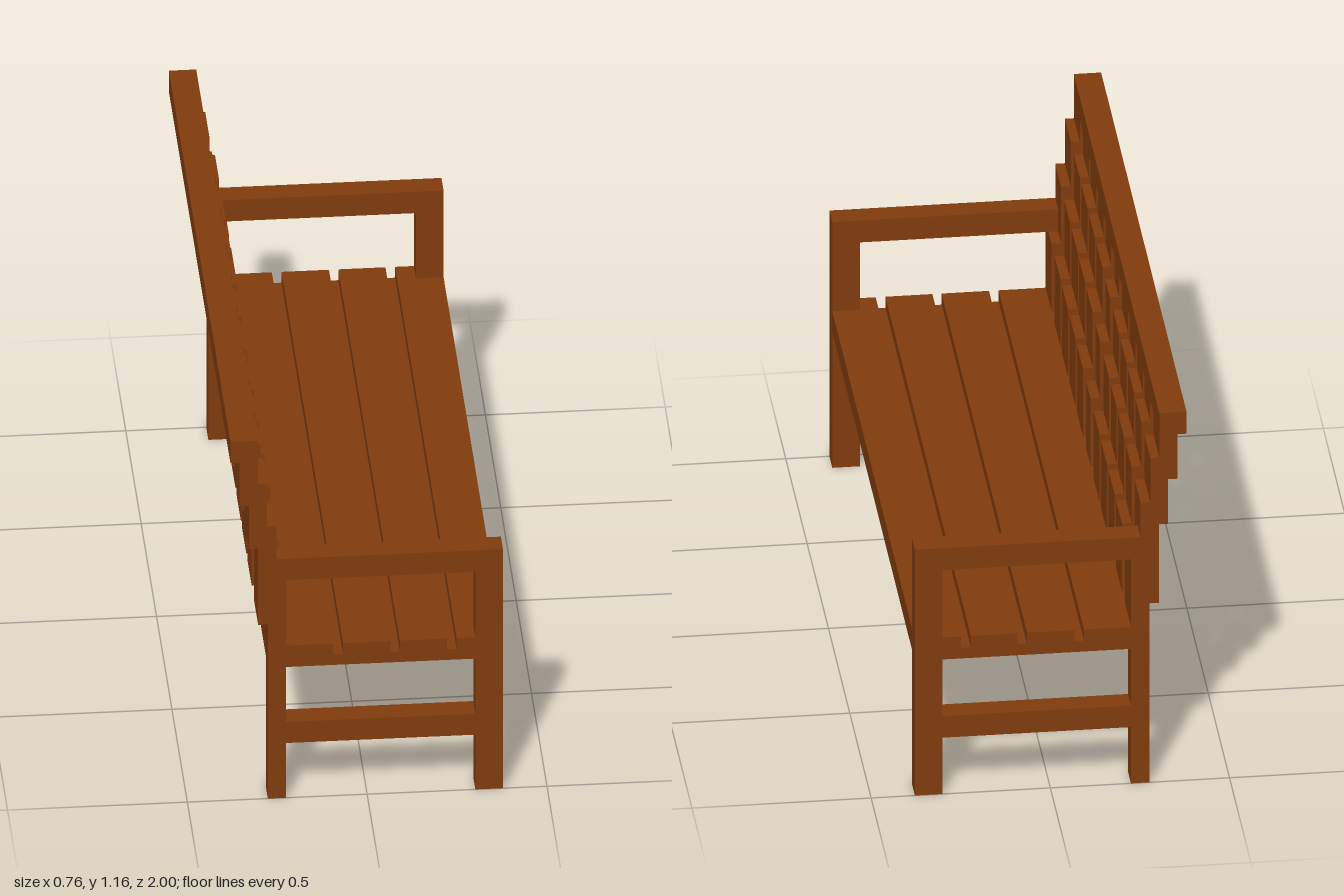
import * as THREE from 'three';

export function createModel() {
  const bench = new THREE.Group();
  bench.name = 'gardenBench';
  const wood = new THREE.MeshStandardMaterial({ color: 0x823c0d });
  wood.name = 'brownWood';

  // Box given by its limits on each axis
  function box(name, x0, x1, y0, y1, z0, z1) {
    const mesh = new THREE.Mesh(new THREE.BoxGeometry(x1 - x0, y1 - y0, z1 - z0), wood);
    mesh.position.set((x0 + x1) / 2, (y0 + y1) / 2, (z0 + z1) / 2);
    mesh.name = name;
    bench.add(mesh);
  }

  // Side profile in x and y, extruded along z
  function profile(name, points, z0, z1) {
    const shape = new THREE.Shape(points.map(([x, y]) => new THREE.Vector2(x, y)));
    const geometry = new THREE.ExtrudeGeometry(shape, { depth: z1 - z0, bevelEnabled: false });
    const mesh = new THREE.Mesh(geometry, wood);
    mesh.position.z = z0;
    mesh.name = name;
    bench.add(mesh);
  }

  // Seat: one solid board with three grooves between its planks
  const seat = [[-0.276, 0.423], [0.378, 0.423], [0.378, 0.492]];
  for (const [a, b] of [[0.222, 0.249], [0.065, 0.091], [-0.094, -0.067]]) {
    seat.push([b, 0.492], [b, 0.457], [a, 0.457], [a, 0.492]);
  }
  seat.push([-0.276, 0.492]);
  profile('seat', seat, -1, 1);

  // Leg frames with armrests at both ends
  for (const [side, z0, z1] of [['left', 0.932, 1], ['right', -1, -0.932]]) {
    box(side + 'FrontLegLower', 0.301, 0.378, 0, 0.423, z0, z1);
    box(side + 'ArmPost', 0.301, 0.378, 0.492, 0.704, z0, z1);
    box(side + 'RearLeg', -0.276, -0.225, 0, 0.423, z0, z1);
    box(side + 'Stretcher', -0.225, 0.301, 0.177, 0.245, z0, z1);
    box(side + 'Armrest', -0.252, 0.378, 0.704, 0.773, z0, z1);
  }

  // Backrest slats, leaning back in steps
  const slat = [
    [-0.276, 0.492], [-0.225, 0.492], [-0.225, 0.704], [-0.252, 0.704],
    [-0.252, 0.88], [-0.279, 0.88], [-0.279, 1.02], [-0.304, 1.02],
    [-0.304, 1.09], [-0.355, 1.09], [-0.355, 0.95], [-0.329, 0.95],
    [-0.329, 0.81], [-0.303, 0.81], [-0.303, 0.563], [-0.276, 0.563],
  ];
  profile('backSlat', slat, -0.053, 0.053);
  for (const [a, b] of [[0.126, 0.263], [0.301, 0.439], [0.473, 0.615], [0.652, 0.788], [0.862, 1]]) {
    profile('backSlat', slat, a, b);
    profile('backSlat', slat, -b, -a);
  }

  // Top rail of the backrest
  box('topRail', -0.38, -0.304, 1.09, 1.159, -1, 1);

  return bench;
}
